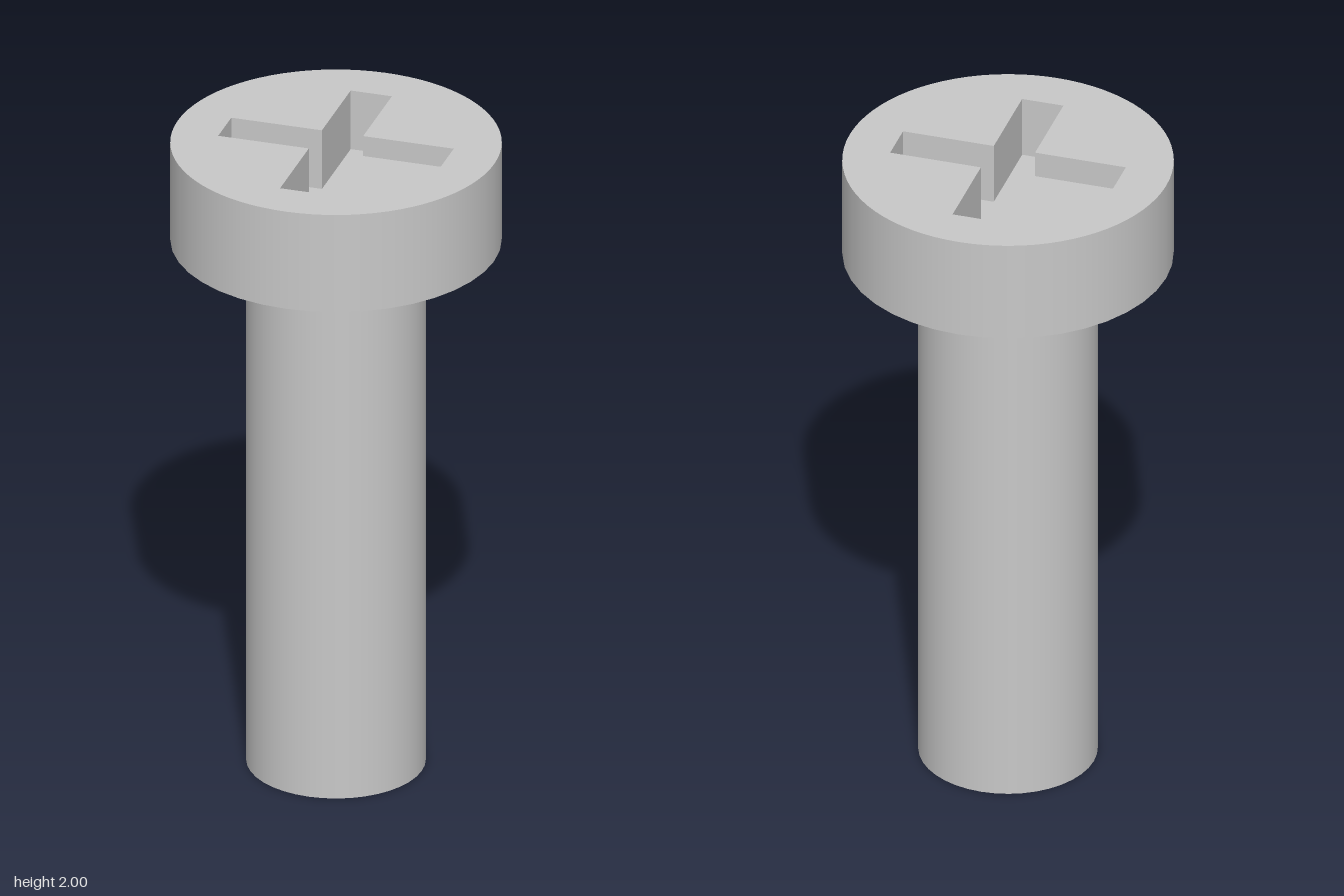
import * as THREE from 'three';

const SEGMENTS = 40;
const HEAD_R = 0.483, HEAD_BOTTOM = 1.685, TOP = 2;
const SHAFT_R = 0.262;
const ARM = 0.34, HALF = 0.063, DEPTH = 0.19; // cross recess

// Plus-shaped outline of the drive recess
function crossPoints() {
  const points = [];
  for (let i = 0; i < 4; i++) {
    for (const [x, y] of [[HALF, -HALF], [ARM, -HALF], [ARM, HALF]]) {
      points.push(new THREE.Vector2(x, y).rotateAround(new THREE.Vector2(), i * Math.PI / 2));
    }
  }
  return points;
}

export function createModel() {
  const model = new THREE.Group();
  model.name = 'screw';
  const steel = new THREE.MeshStandardMaterial({ color: 0xc8c8c8 });
  steel.name = 'steel grey';

  const add = (name, geometry, parent = model) => {
    const mesh = new THREE.Mesh(geometry, steel);
    mesh.name = name;
    parent.add(mesh);
    return mesh;
  };
  const tube = (radius, y0, y1) =>
    new THREE.CylinderGeometry(radius, radius, y1 - y0, SEGMENTS, 1, true).translate(0, (y0 + y1) / 2, 0);

  // Shaft with flat tip
  add('shaft', tube(SHAFT_R, 0, HEAD_BOTTOM));
  add('shaftTip', new THREE.CircleGeometry(SHAFT_R, SEGMENTS).rotateX(Math.PI / 2));

  // Head: rim, underside and top face with a cross-shaped opening
  add('headRim', tube(HEAD_R, HEAD_BOTTOM, TOP));
  add('headUnderside', new THREE.RingGeometry(SHAFT_R, HEAD_R, SEGMENTS)
    .rotateX(Math.PI / 2).translate(0, HEAD_BOTTOM, 0));
  const face = new THREE.Shape().absarc(0, 0, HEAD_R, 0, Math.PI * 2, false);
  face.holes.push(new THREE.Path(crossPoints()));
  add('headTop', new THREE.ShapeGeometry(face, SEGMENTS).rotateX(-Math.PI / 2).translate(0, TOP, 0));

  // Cross recess: floor, then two side walls and an end wall for each arm
  add('recessFloor', new THREE.ShapeGeometry(new THREE.Shape(crossPoints()))
    .rotateX(-Math.PI / 2).translate(0, TOP - DEPTH, 0));
  const wallY = TOP - DEPTH / 2, wallX = (ARM + HALF) / 2;
  for (let i = 0; i < 4; i++) {
    const arm = new THREE.Group();
    arm.name = 'recessArm';
    arm.rotation.y = i * Math.PI / 2;
    const side = () => new THREE.PlaneGeometry(ARM - HALF, DEPTH);
    add('recessSideWall', side().translate(wallX, wallY, -HALF), arm);
    add('recessSideWall', side().rotateY(Math.PI).translate(wallX, wallY, HALF), arm);
    add('recessEndWall', new THREE.PlaneGeometry(HALF * 2, DEPTH)
      .rotateY(-Math.PI / 2).translate(ARM, wallY, 0), arm);
    model.add(arm);
  }
  return model;
}
